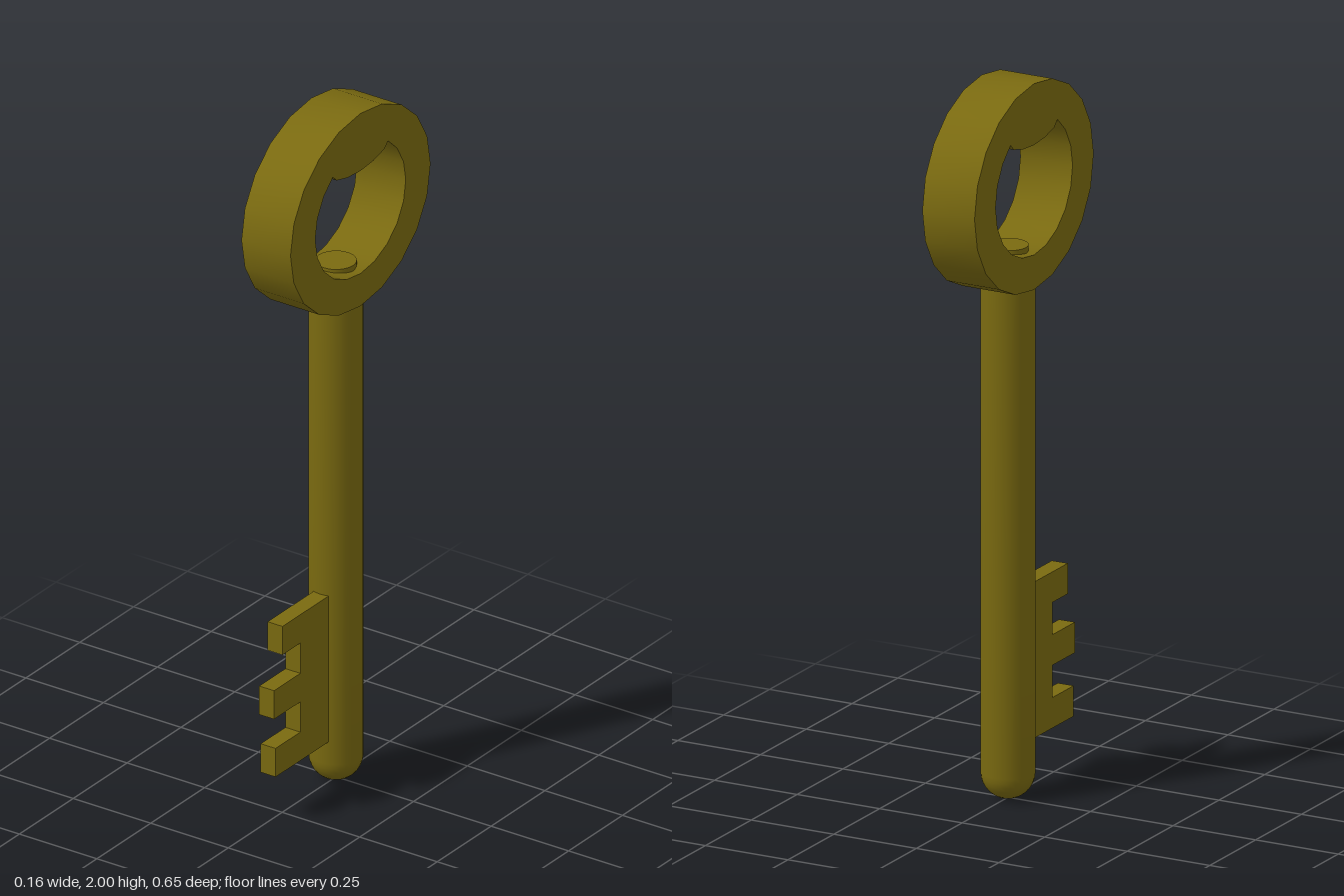
import * as THREE from 'three';
import { toCreasedNormals } from 'three/addons/utils/BufferGeometryUtils.js';

const material = new THREE.MeshStandardMaterial({ color: 0x7a6a10 });

// Extrude a (z, y) outline symmetrically along x
function slab(shape, thickness) {
  const g = new THREE.ExtrudeGeometry(shape, { depth: thickness, bevelEnabled: false });
  g.translate(0, 0, -thickness / 2);
  g.rotateY(-Math.PI / 2);
  return toCreasedNormals(g, 0.7);
}

function ellipse(cy, rz, ry, sides) {
  return Array.from({ length: sides }, (_, i) => {
    const a = (i / sides) * Math.PI * 2;
    return new THREE.Vector2(rz * Math.cos(a), cy + ry * Math.sin(a));
  });
}

export function createModel() {
  const key = new THREE.Group();
  key.name = 'key';
  const add = (name, geometry) => {
    const mesh = new THREE.Mesh(geometry, material);
    mesh.name = name;
    key.add(mesh);
  };

  // Oval bow; a shallow lobe hangs into the top of its opening
  const bow = new THREE.Shape(ellipse(1.713, 0.325, 0.287, 20));
  const lobe = [[0.128, 1.864], [0.11, 1.847], [0.06, 1.834], [0, 1.829],
    [-0.06, 1.834], [-0.11, 1.847], [-0.128, 1.864]].map(p => new THREE.Vector2(...p));
  const opening = ellipse(1.713, 0.21, 0.19, 20);
  const right = opening.filter(p => p.x > 0 && p.y < 1.86);
  const left = opening.filter(p => p.x <= 0 && p.y < 1.86);
  const lowerRight = right.filter(p => p.y < 1.712);
  const upperRight = right.filter(p => p.y >= 1.712);
  bow.holes.push(new THREE.Path([...upperRight, ...lobe, ...left, ...lowerRight]));
  add('bow', slab(bow, 0.158));

  // Round shaft with a domed tip and a narrow stud showing inside the bow
  const r = 0.073;
  const profile = [];
  for (let i = 0; i <= 8; i++) {
    const a = (i / 8) * Math.PI / 2;
    profile.push(new THREE.Vector2(r * Math.sin(a), r - r * Math.cos(a)));
  }
  profile.push(new THREE.Vector2(r, 1.46), new THREE.Vector2(0.055, 1.47),
    new THREE.Vector2(0.055, 1.54), new THREE.Vector2(0, 1.54));
  add('shaft', toCreasedNormals(new THREE.LatheGeometry(profile, 32), 0.7));

  // Toothed bit on the front of the shaft
  const bit = new THREE.Shape([
    [0, 0.14], [0.315, 0.14], [0.315, 0.225], [0.2, 0.225],
    [0.2, 0.315], [0.322, 0.315], [0.322, 0.4], [0.2, 0.4],
    [0.2, 0.49], [0.283, 0.49], [0.283, 0.575], [0, 0.575],
  ].map(p => new THREE.Vector2(...p)));
  add('bit', slab(bit, 0.048));

  return key;
}
